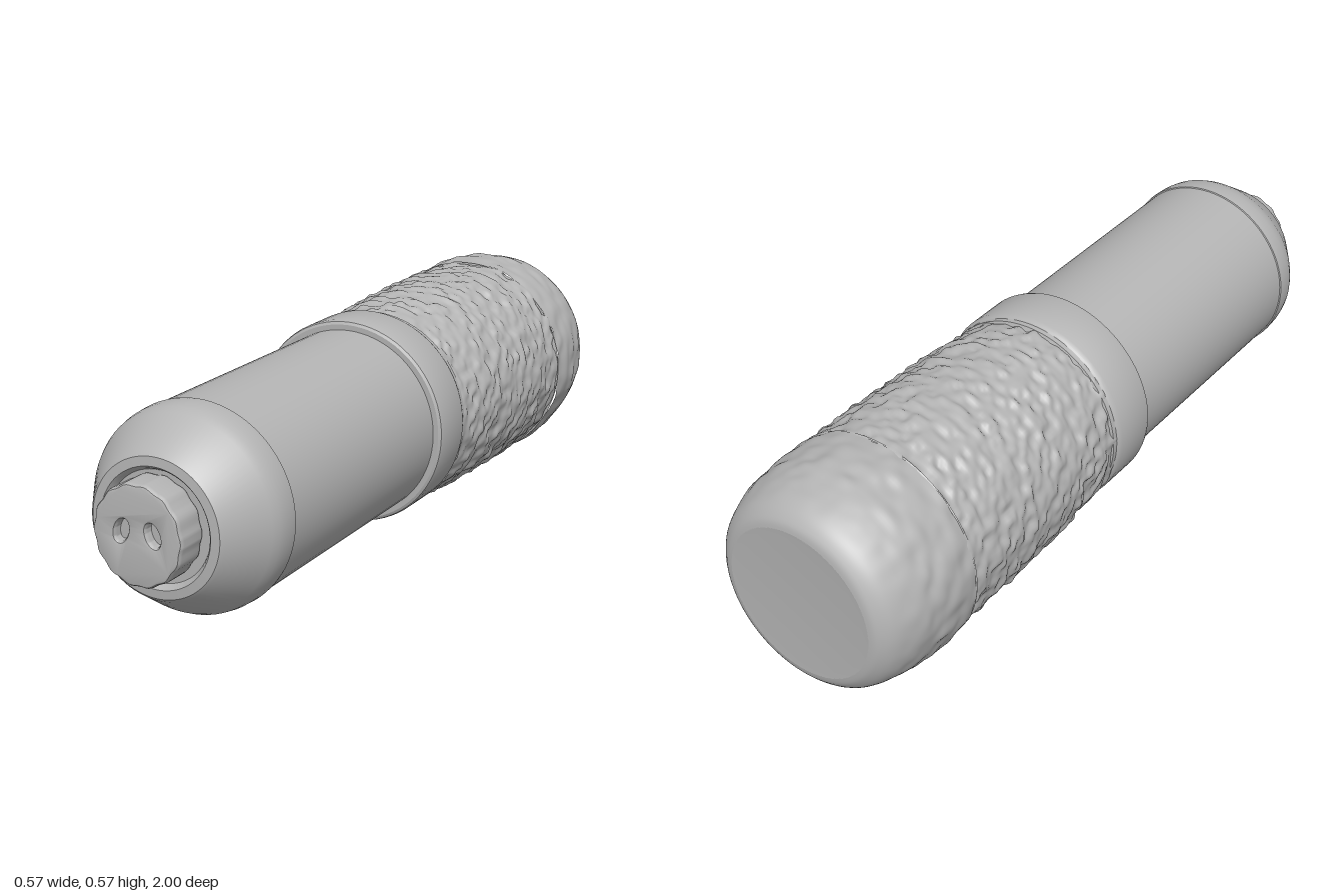
import * as THREE from 'three';
import { mergeVertices, toCreasedNormals } from 'three/addons/utils/BufferGeometryUtils.js';

const V = (r, z) => new THREE.Vector2(r, z);

// seeded 3D value noise, result in -1..1
function hash(x, y, z) {
  const s = Math.sin(x * 127.1 + y * 311.7 + z * 74.7) * 43758.5453;
  return (s - Math.floor(s)) * 2 - 1;
}
function noise(x, y, z) {
  const c = [x, y, z].map(Math.floor);
  const f = [x - c[0], y - c[1], z - c[2]].map((t) => t * t * (3 - 2 * t));
  let sum = 0;
  for (let i = 0; i < 8; i++) {
    const o = [i & 1, (i >> 1) & 1, i >> 2];
    const w = o.reduce((p, b, k) => p * (b ? f[k] : 1 - f[k]), 1);
    sum += w * hash(c[0] + o[0], c[1] + o[1], c[2] + o[2]);
  }
  return sum;
}

export function createModel() {
  const group = new THREE.Group();
  const grey = new THREE.MeshStandardMaterial({ color: 0xb4b4b4 });
  const frontAxis = 0.297, rearAxis = 0.291;

  const add = (name, geo, y) => {
    const mesh = new THREE.Mesh(geo, grey);
    mesh.name = name;
    mesh.position.y = y;
    group.add(mesh);
  };
  // turned part along z; profile is [radius, z] from back to front
  const turned = (pts) =>
    toCreasedNormals(new THREE.LatheGeometry(pts.map((p) => V(...p)), 80).rotateX(Math.PI / 2), 0.5);

  // turned part with a pebbled surface
  const pebbled = (pts, rows, cols, amp, freq, fade) => {
    const profile = new THREE.SplineCurve(pts.map((p) => V(...p))).getSpacedPoints(rows);
    profile.forEach((p) => { p.x = Math.max(p.x, 0); });
    let geo = new THREE.LatheGeometry(profile, cols).rotateX(Math.PI / 2);
    geo.deleteAttribute('uv');
    geo.deleteAttribute('normal');
    geo = mergeVertices(geo, 1e-5);
    const pos = geo.attributes.position;
    for (let i = 0; i < pos.count; i++) {
      const x = pos.getX(i), y = pos.getY(i), z = pos.getZ(i);
      const r = Math.hypot(x, y);
      if (r < 1e-4) continue;
      const k = 1 + (amp * fade(z) * noise(x * freq + 9, y * freq + 5, z * freq * 1.3 + 3)) / r;
      pos.setXY(i, x * k, y * k);
    }
    geo.computeVertexNormals();
    return geo;
  };

  // textured grip
  add('grip', pebbled(
    [[0.277, -0.72], [0.279, -0.6], [0.278, -0.45], [0.273, -0.3], [0.266, -0.2], [0.259, -0.13], [0.257, -0.09]],
    100, 220, 0.008, 42, () => 1), 0.293);

  // rounded end cap with a smooth flat end
  add('endCap', pebbled(
    [[0.2, -0.999], [0.222, -0.992], [0.25, -0.963], [0.27, -0.91], [0.28, -0.85], [0.285, -0.78], [0.282, -0.715]],
    45, 180, 0.005, 26, (z) => Math.min(1, Math.max(0, (z + 0.98) * 8))), rearAxis);
  add('endPlate', turned([[0, -0.997], [0.185, -0.998], [0.201, -0.999]]), rearAxis);
  add('endCapRim', turned([[0.281, -0.715], [0.283, -0.711], [0.265, -0.706]]), rearAxis);

  // collar between grip and barrel
  add('collar', turned([
    [0.245, -0.125], [0.26, -0.118], [0.26, -0.104], [0.264, -0.1], [0.268, -0.09],
    [0.268, 0.022], [0.265, 0.032], [0.258, 0.036], [0.24, 0.036],
  ]), frontAxis);

  // straight barrel
  add('barrel', turned([[0.244, -0.05], [0.245, 0.75]]), frontAxis);

  // tapered nose with a groove around the tip
  add('nose', turned([
    [0.24, 0.742], [0.248, 0.746], [0.249, 0.755], [0.247, 0.785], [0.243, 0.805], [0.234, 0.824],
    [0.172, 0.919], [0.164, 0.927], [0.142, 0.929], [0.136, 0.922], [0.131, 0.912], [0, 0.912],
  ]), frontAxis);

  // scalloped tip with two slanted holes
  const outline = [];
  for (let i = 0; i < 96; i++) {
    const a = (i / 96) * Math.PI * 2;
    const r = 0.113 + 0.0018 * Math.cos(14 * a);
    outline.push(V(r * Math.cos(a), r * 1.05 * Math.sin(a)));
  }
  const tipShape = new THREE.Shape(outline);
  for (const side of [-1, 1]) {
    const hole = new THREE.Path();
    hole.absellipse(side * 0.04, 0.007, 0.016, 0.027, 0, Math.PI * 2, true, side * 0.35);
    tipShape.holes.push(hole);
  }
  const tip = new THREE.ExtrudeGeometry(tipShape, {
    depth: 0.065, curveSegments: 24, bevelThickness: 0.012, bevelSize: 0.008, bevelOffset: -0.008, bevelSegments: 3,
  }).translate(0, 0, 0.923);
  add('tip', toCreasedNormals(tip, 0.6), 0.302);
  add('holeFloor', new THREE.CircleGeometry(0.085, 32).translate(0, 0, 0.975), 0.302);

  return group;
}
